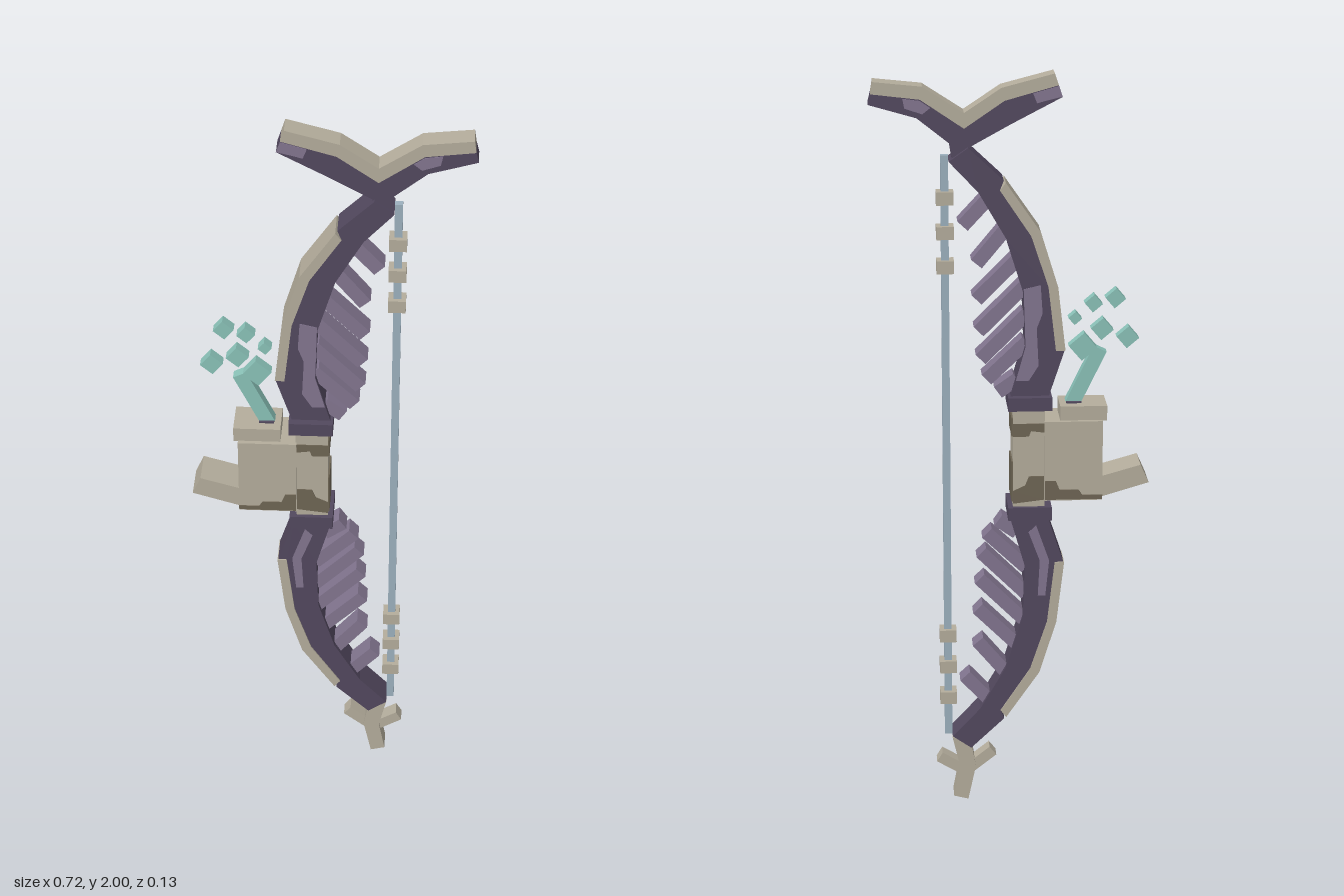
import * as THREE from 'three';

const mat = (name, color, double) => {
  const m = new THREE.MeshStandardMaterial({ color });
  m.name = name;
  return m;
};

export function createModel() {
  const bow = new THREE.Group();
  bow.name = 'bow';
  const bone = mat('bone', 0xb4ad9c);
  const shade = mat('dark bone', 0x6e6554);
  const plum = mat('dark plum', 0x52485e);
  const lilac = mat('light plum', 0x82758f);
  const teal = mat('teal crystal', 0x8ac2b8);
  const steel = mat('string blue', 0x9cb0be);

  const add = (geometry, material, name) => {
    const mesh = new THREE.Mesh(geometry, material);
    mesh.name = name;
    bow.add(mesh);
    return mesh;
  };
  // Flat outline in x, y given thickness d, centred on z
  const slab = (points, d, material, name, z = 0) => {
    const shape = new THREE.Shape(points.map(([x, y]) => new THREE.Vector2(x, y)));
    const g = new THREE.ExtrudeGeometry(shape, { depth: d, bevelEnabled: false });
    return add(g.translate(0, 0, z - d / 2), material, name);
  };
  // Thin painted patch on both the front and the back
  const patch = (points, z, material, name) => {
    for (const s of [1, -1]) slab(points, 0.004, material, name, s * z);
  };
  const block = (x0, x1, y0, y1, d, material, name) =>
    add(new THREE.BoxGeometry(x1 - x0, y1 - y0, d)
      .translate((x0 + x1) / 2, (y0 + y1) / 2, 0), material, name);
  // Square-ended bar between two points
  const bar = ([x0, y0], [x1, y1], w, d, material, name) => {
    const mesh = add(new THREE.BoxGeometry(w, Math.hypot(x1 - x0, y1 - y0), d), material, name);
    mesh.position.set((x0 + x1) / 2, (y0 + y1) / 2, 0);
    mesh.rotation.z = Math.atan2(x0 - x1, y1 - y0);
    return mesh;
  };

  // Mirrored limbs with bone outer edge and ribs
  const outer = [[-0.145, 1.28], [-0.125, 1.45], [-0.08, 1.595], [0.01, 1.725]];
  const spine = [[-0.12, 1.28], [-0.1, 1.45], [-0.055, 1.585], [0.025, 1.705]];
  const inner = [[0.155, 1.78], [0.08, 1.7], [0.01, 1.58], [-0.035, 1.435], [-0.04, 1.29], [0, 1.15]];
  const ribs = [
    [[-0.02, 1.2], [0.03, 1.165]], [[-0.045, 1.3], [0.06, 1.2]],
    [[-0.045, 1.375], [0.075, 1.255]], [[-0.04, 1.45], [0.08, 1.33]],
    [[-0.02, 1.52], [0.085, 1.415]], [[0.01, 1.6], [0.085, 1.51]],
    [[0.055, 1.68], [0.12, 1.61]],
  ];
  for (const side of ['upper', 'lower']) {
    const f = (list) => list.map(([x, y]) => [x, side === 'upper' ? y : 1.975 - y]);
    slab(f([[-0.1, 1.15], [-0.143, 1.28], ...spine, [0.015, 1.73], [0.105, 1.815], ...inner]),
      0.082, plum, side + 'Limb');
    slab(f([...outer, ...[...spine].reverse()]), 0.09, bone, side + 'LimbEdge');
    for (const r of ribs) bar(...f(r), 0.036, 0.055, lilac, side + 'Rib');
  }
  patch([[-0.036, 1.445], [-0.08, 1.455], [-0.085, 1.38], [-0.07, 1.34], [-0.075, 1.24],
    [-0.05, 1.2], [-0.016, 1.2], [-0.041, 1.29]], 0.041, lilac, 'upperLimbPatch');
  patch([[-0.07, 0.8], [-0.05, 0.78], [-0.08, 0.7], [-0.075, 0.6], [-0.095, 0.6], [-0.105, 0.7]],
    0.041, lilac, 'lowerLimbPatch');

  // Grip, collars and side block
  block(-0.092, -0.008, 0.85, 1.125, 0.1, bone, 'grip');
  for (const y of [0.82, 1.122]) block(-0.11, 0.005, y, y + 0.036, 0.124, plum, 'collar');
  block(-0.243, -0.09, 0.875, 1.092, 0.124, bone, 'sideBlock');
  block(-0.255, -0.132, 1.09, 1.13, 0.1, bone, 'blockLid');
  slab([[-0.345, 0.966], [-0.367, 0.917], [-0.215, 0.872], [-0.2, 0.925]], 0.1, bone, 'spur');
  patch([[-0.092, 1.085], [-0.008, 1.085], [-0.008, 1.05], [-0.05, 1.05], [-0.055, 1.065], [-0.092, 1.06]],
    0.05, shade, 'gripUpperPatch');
  patch([[-0.092, 0.94], [-0.05, 0.94], [-0.04, 0.915], [-0.008, 0.9], [-0.008, 0.865], [-0.092, 0.875]],
    0.05, shade, 'gripLowerPatch');
  patch([[-0.243, 0.878], [-0.092, 0.878], [-0.092, 0.93], [-0.12, 0.93], [-0.13, 0.905],
    [-0.18, 0.905], [-0.19, 0.89], [-0.243, 0.89]], 0.062, shade, 'blockPatch');
  // Darker inner face of the grip
  block(-0.009, -0.004, 0.87, 0.98, 0.098, shade, 'gripInnerPatch');
  block(-0.009, -0.004, 1.05, 1.1, 0.098, shade, 'gripInnerPatch');

  // Crystal flame and floating cubes
  block(-0.19, -0.15, 1.128, 1.134, 0.044, plum, 'crystalSocket');
  bar([-0.165, 1.125], [-0.238, 1.275], 0.038, 0.03, teal, 'crystalStem');
  for (const [x, y, r] of [[-0.277, 1.41, 0.027], [-0.22, 1.397, 0.024], [-0.172, 1.358, 0.018],
    [-0.243, 1.328, 0.03], [-0.31, 1.305, 0.03], [-0.193, 1.281, 0.038]]) {
    const cube = block(-r * 0.7, r * 0.7, -r * 0.7, r * 0.7, 0.03, teal, 'crystalCube');
    cube.position.set(x, y, 0);
    cube.rotation.z = 0.87;
  }

  // String with beads
  block(0.155, 0.175, 0.19, 1.79, 0.02, steel, 'string');
  for (const y of [0.3, 0.39, 0.48, 1.5, 1.59, 1.68])
    block(0.142, 0.187, y - 0.017, y + 0.017, 0.045, bone, 'stringBead');

  // Forked crown: bone upper edge over plum body
  const top = [[-0.115, 2], [0.02, 1.965], [0.115, 1.902], [0.22, 1.97], [0.345, 1.983]];
  const seam = [[-0.125, 1.97], [0.012, 1.932], [0.115, 1.862], [0.226, 1.937], [0.35, 1.952]];
  slab([...top, ...[...seam].reverse()], 0.06, bone, 'crownEdge');
  slab([...seam, [0.357, 1.925], [0.235, 1.89], [0.153, 1.825], [0.145, 1.775],
    [0.1, 1.79], [0.1, 1.815], [0, 1.87], [-0.135, 1.94]], 0.058, plum, 'crownBody');
  patch([[-0.125, 1.968], [-0.06, 1.95], [-0.07, 1.925], [-0.1, 1.933], [-0.135, 1.941]],
    0.029, lilac, 'crownPatch');
  patch([[0.2, 1.916], [0.226, 1.934], [0.27, 1.94], [0.265, 1.915], [0.22, 1.9]],
    0.029, lilac, 'crownPatch');

  // Branched foot
  slab([[0.11, 0.2], [0.155, 0.185], [0.135, 0.1], [0.152, 0.012], [0.113, 0.002], [0.092, 0.1]],
    0.058, bone, 'footStem');
  bar([0.115, 0.085], [0.045, 0.14], 0.03, 0.04, bone, 'footBranch');
  bar([0.115, 0.08], [0.19, 0.125], 0.03, 0.04, bone, 'footBranch');

  return bow;
}
